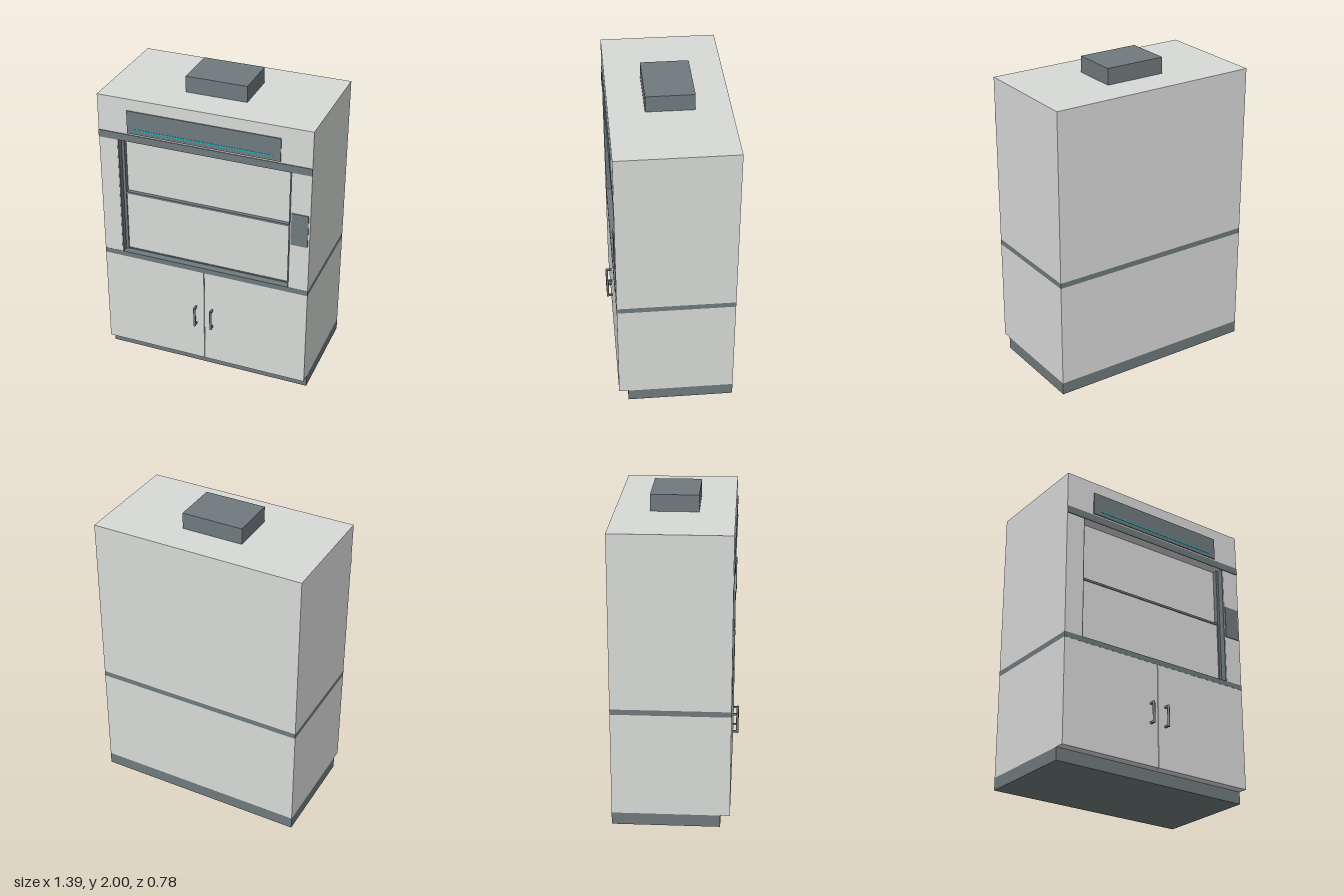
import * as THREE from 'three';

export function createModel() {
  const group = new THREE.Group();
  const mat = (name, color) => Object.assign(new THREE.MeshStandardMaterial({ color }), { name });
  const light = mat('light grey', 0xd8dad8);
  const dark = mat('slate grey', 0x6f797c);
  const teal = mat('teal', 0x14b4bf);

  // Box given by its limits on each axis
  const box = (name, m, [x0, x1], [y0, y1], [z0, z1], parent = group) => {
    const mesh = new THREE.Mesh(new THREE.BoxGeometry(x1 - x0, y1 - y0, z1 - z0), m);
    mesh.position.set((x0 + x1) / 2, (y0 + y1) / 2, (z0 + z1) / 2);
    mesh.name = name;
    parent.add(mesh);
    return mesh;
  };
  const W = 0.693, BACK = -0.39, FRONT = 0.35;
  const full = [-W, W];

  // Base cabinet
  box('plinth', dark, full, [0, 0.08], [BACK, 0.29]);
  box('cabinet', light, full, [0.08, 0.755], [BACK, 0.33]);
  box('worktop', dark, full, [0.755, 0.79], [BACK, FRONT + 0.001]);

  // Upper chamber, open at the front
  box('chamber', light, full, [0.79, 1.61], [BACK, 0.25]);
  box('header', light, full, [1.61, 1.895], [BACK, FRONT]);
  box('headerBand', dark, full, [1.607, 1.655], [FRONT - 0.002, FRONT + 0.005]);
  box('exhaustCollar', dark, [-0.2, 0.2], [1.895, 2], [-0.172, 0.128]);

  // Sliding sash: lower pane in front of the upper one
  box('upperPane', light, [-0.546, 0.546], [1.2, 1.61], [0.25, 0.28]);
  box('lowerPane', light, [-0.546, 0.546], [0.798, 1.205], [0.25, 0.3]);
  box('sashRail', dark, [-0.546, 0.546], [1.203, 1.217], [0.25, 0.306]);
  box('sashSill', dark, [-0.546, 0.546], [0.79, 0.798], [0.25, 0.304]);

  // Mirrored parts: doors, pillars, sash tracks and door handles
  for (const s of [-1, 1]) {
    const side = s < 0 ? 'right' : 'left';
    const span = (a, b) => (s > 0 ? [a, b] : [-b, -a]);
    box(side + 'Door', light, span(0.002, W), [0.08, 0.755], [0.33, FRONT]);
    box(side + 'Pillar', light, span(0.569, W), [0.79, 1.61], [0.25, FRONT]);
    box(side + 'TrackLiner', dark, span(0.562, 0.569), [0.79, 1.61], [0.25, FRONT - 0.002]);
    box(side + 'Track', dark, span(0.544, 0.562), [0.79, 1.61], [0.25, 0.31]);

    const handle = new THREE.Group();
    handle.name = side + 'Handle';
    group.add(handle);
    const grip = new THREE.Mesh(new THREE.CylinderGeometry(0.008, 0.008, 0.14, 16), dark);
    grip.name = 'grip';
    grip.position.set(s * 0.056, 0.418, 0.382);
    handle.add(grip);
    for (const y of [0.355, 0.481])
      box('post', dark, span(0.05, 0.062), [y - 0.006, y + 0.006], [FRONT - 0.002, 0.382], handle);
  }

  // Front fittings
  box('displayPanel', dark, [-0.496, 0.496], [1.666, 1.818], [FRONT - 0.002, FRONT + 0.007]);
  box('lightStrip', teal, [-0.445, 0.445], [1.692, 1.701], [FRONT + 0.006, FRONT + 0.009]);
  box('controlPanel', dark, [0.574, 0.682], [1.11, 1.33], [FRONT - 0.002, FRONT + 0.006]);

  return group;
}
